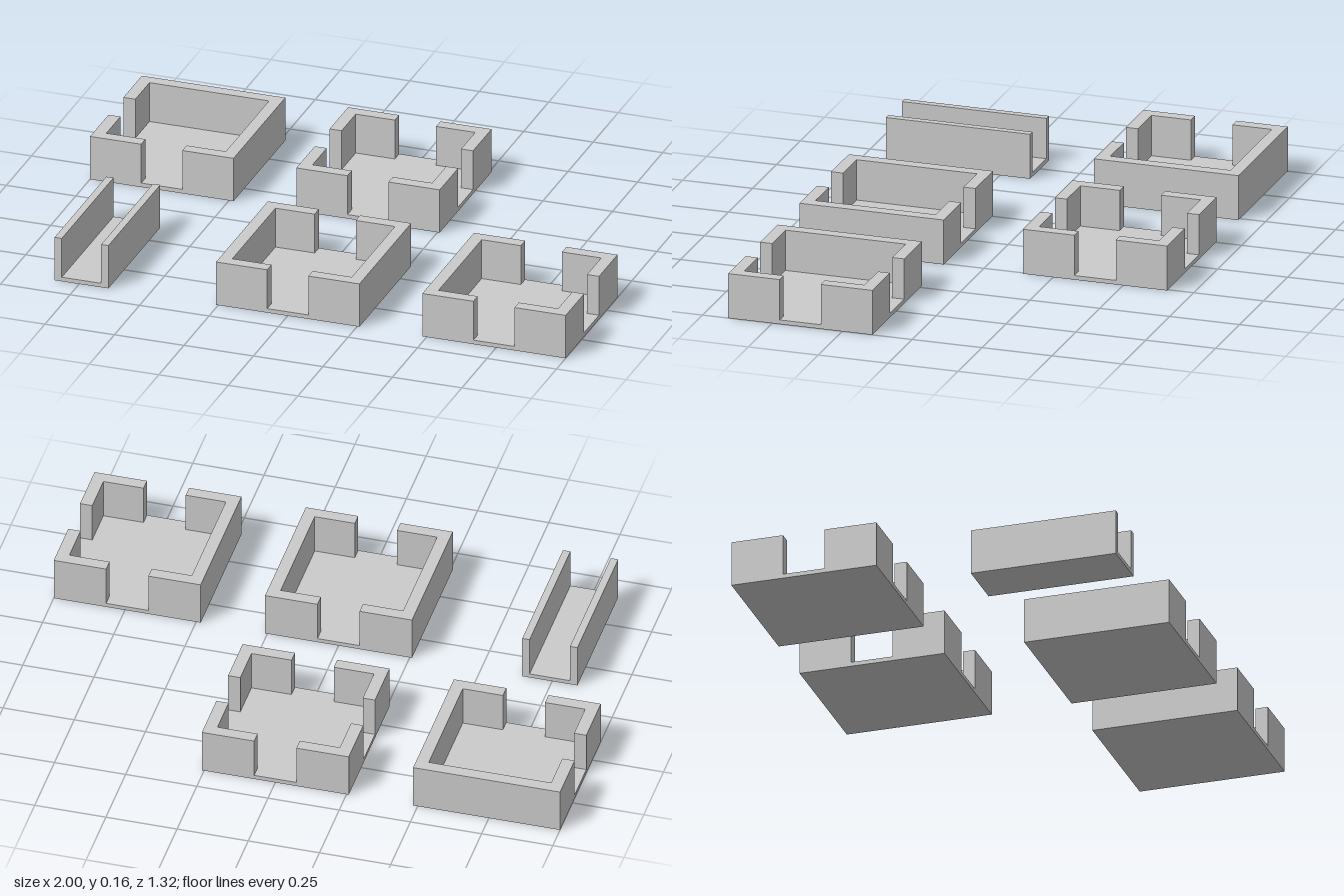
import * as THREE from 'three';

const HALF = 0.258;    // half width of a room tile
const INNER = 0.215;   // half width inside the walls
const DOOR = 0.074;    // half width of a doorway
const HEIGHT = 0.16;
const FLOOR = 0.015;
const PITCH_X = 0.742, PITCH_Z = 0.4;

const material = new THREE.MeshStandardMaterial({ color: 0xcccccc, flatShading: true });

// Sides in counterclockwise plan order: outward direction n, running direction t (plan y = -z)
const SIDES = [
  { name: 'front', n: [0, -1], t: [1, 0] },
  { name: 'right', n: [1, 0], t: [0, 1] },
  { name: 'back', n: [0, 1], t: [-1, 0] },
  { name: 'left', n: [-1, 0], t: [0, -1] },
];

const planPoint = ({ n, t }, out, along) =>
  new THREE.Vector2(n[0] * out + t[0] * along, n[1] * out + t[1] * along);

function addMesh(group, geometry, name) {
  const mesh = new THREE.Mesh(geometry, material);
  mesh.name = name;
  group.add(mesh);
  return mesh;
}

// One wall run, from the doorway on side `start` round to the next doorway
function wallRun(start, doors) {
  const outer = [planPoint(SIDES[start], HALF, DOOR)];
  const inner = [planPoint(SIDES[start], INNER, DOOR)];
  let k = start;
  do {
    outer.push(planPoint(SIDES[k], HALF, HALF));
    inner.push(planPoint(SIDES[k], INNER, INNER));
    k = (k + 1) % 4;
  } while (!doors.includes(SIDES[k].name));
  outer.push(planPoint(SIDES[k], HALF, -DOOR));
  inner.push(planPoint(SIDES[k], INNER, -DOOR));
  const shape = new THREE.Shape([...outer, ...inner.reverse()]);
  return new THREE.ExtrudeGeometry(shape, { depth: HEIGHT - FLOOR, bevelEnabled: false })
    .rotateX(-Math.PI / 2)
    .translate(0, FLOOR, 0);
}

// Square room: floor slab and walls broken by doorways
function room(name, x, z, doors) {
  const group = new THREE.Group();
  group.name = name;
  group.position.set(x, 0, z);
  addMesh(group, new THREE.BoxGeometry(HALF * 2, FLOOR, HALF * 2).translate(0, FLOOR / 2, 0), 'floor');
  SIDES.forEach((side, k) => {
    if (doors.includes(side.name)) addMesh(group, wallRun(k, doors), 'wall');
  });
  return group;
}

// Straight corridor: one U-shaped section, open at both ends
function corridor(x, z) {
  const w = 0.097, i = 0.071;
  const section = new THREE.Shape([
    [-w, 0], [w, 0], [w, HEIGHT], [i, HEIGHT], [i, FLOOR], [-i, FLOOR], [-i, HEIGHT], [-w, HEIGHT],
  ].map(([px, py]) => new THREE.Vector2(px, py)));
  const geometry = new THREE.ExtrudeGeometry(section, { depth: HALF * 2, bevelEnabled: false })
    .translate(0, 0, -HALF);
  const group = new THREE.Group();
  group.name = 'corridor';
  group.position.set(x, 0, z);
  addMesh(group, geometry, 'corridorChannel');
  return group;
}

export function createModel() {
  const model = new THREE.Group();
  model.name = 'dungeonTiles';
  model.add(
    room('cornerRoom', -PITCH_X, -PITCH_Z, ['front', 'left']),
    room('crossRoom', 0, -PITCH_Z, ['front', 'right', 'back', 'left']),
    room('throughRoom', 0, PITCH_Z, ['front', 'back']),
    room('threeWayRoom', PITCH_X, PITCH_Z, ['front', 'right', 'back']),
    corridor(-PITCH_X, PITCH_Z),
  );
  return model;
}
